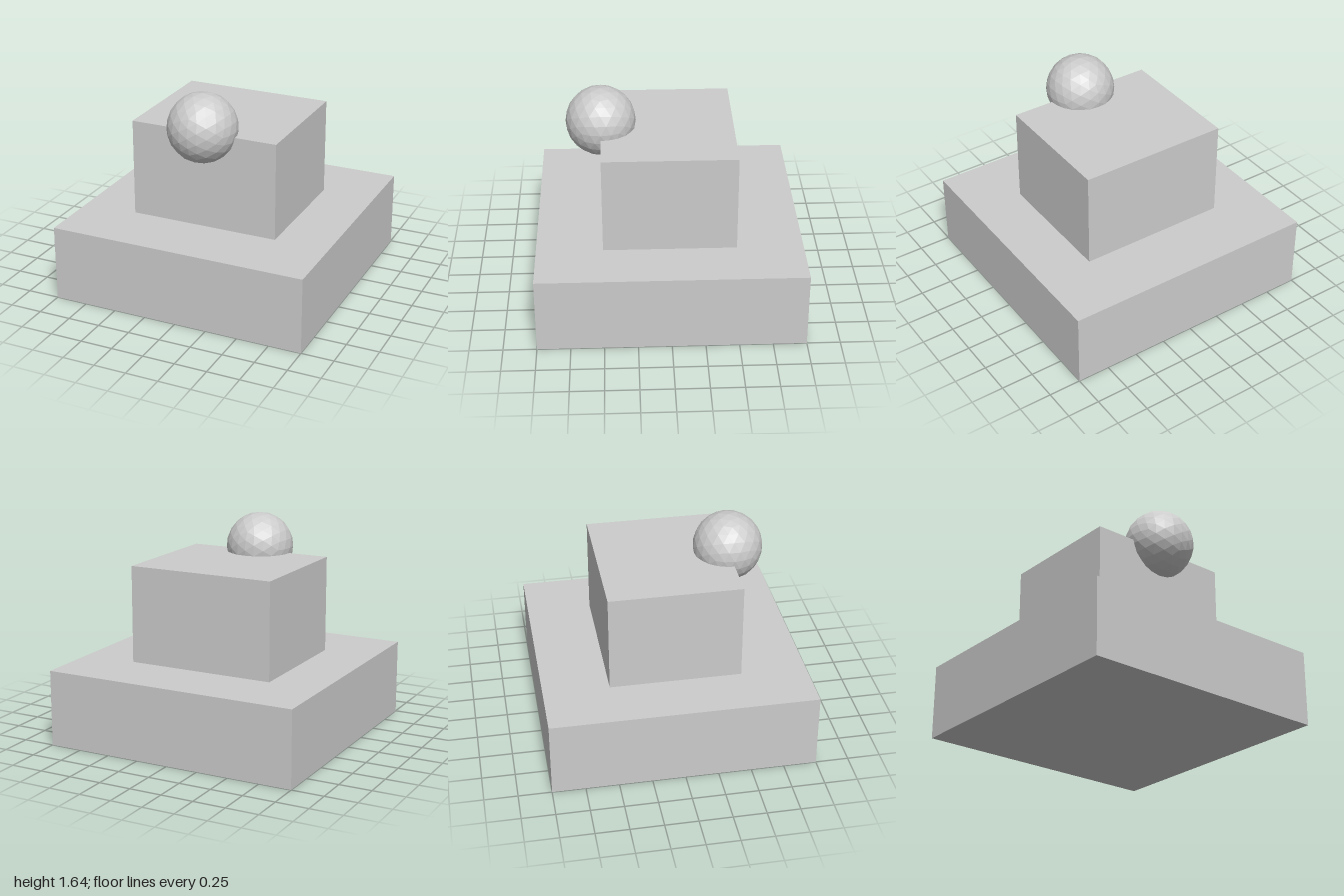
import * as THREE from 'three';

export function createModel() {
  const model = new THREE.Group();
  const material = new THREE.MeshStandardMaterial({ color: 0xcccccc, flatShading: true });

  const add = (name, geometry, x, y, z) => {
    const mesh = new THREE.Mesh(geometry, material);
    mesh.name = name;
    mesh.position.set(x, y, z);
    model.add(mesh);
  };

  const baseHeight = 0.585;
  const blockHeight = 0.75;

  // Wide square plinth
  add('base', new THREE.BoxGeometry(2, baseHeight, 2), 0, baseHeight / 2, 0);

  // Smaller block standing on the plinth
  add('upperBlock', new THREE.BoxGeometry(1.16, blockHeight, 1), 0, baseHeight + blockHeight / 2, 0);

  // Faceted ball sunk into the block's top front edge
  add('ball', new THREE.IcosahedronGeometry(0.264, 3), 0, 1.377, 0.5);

  return model;
}
